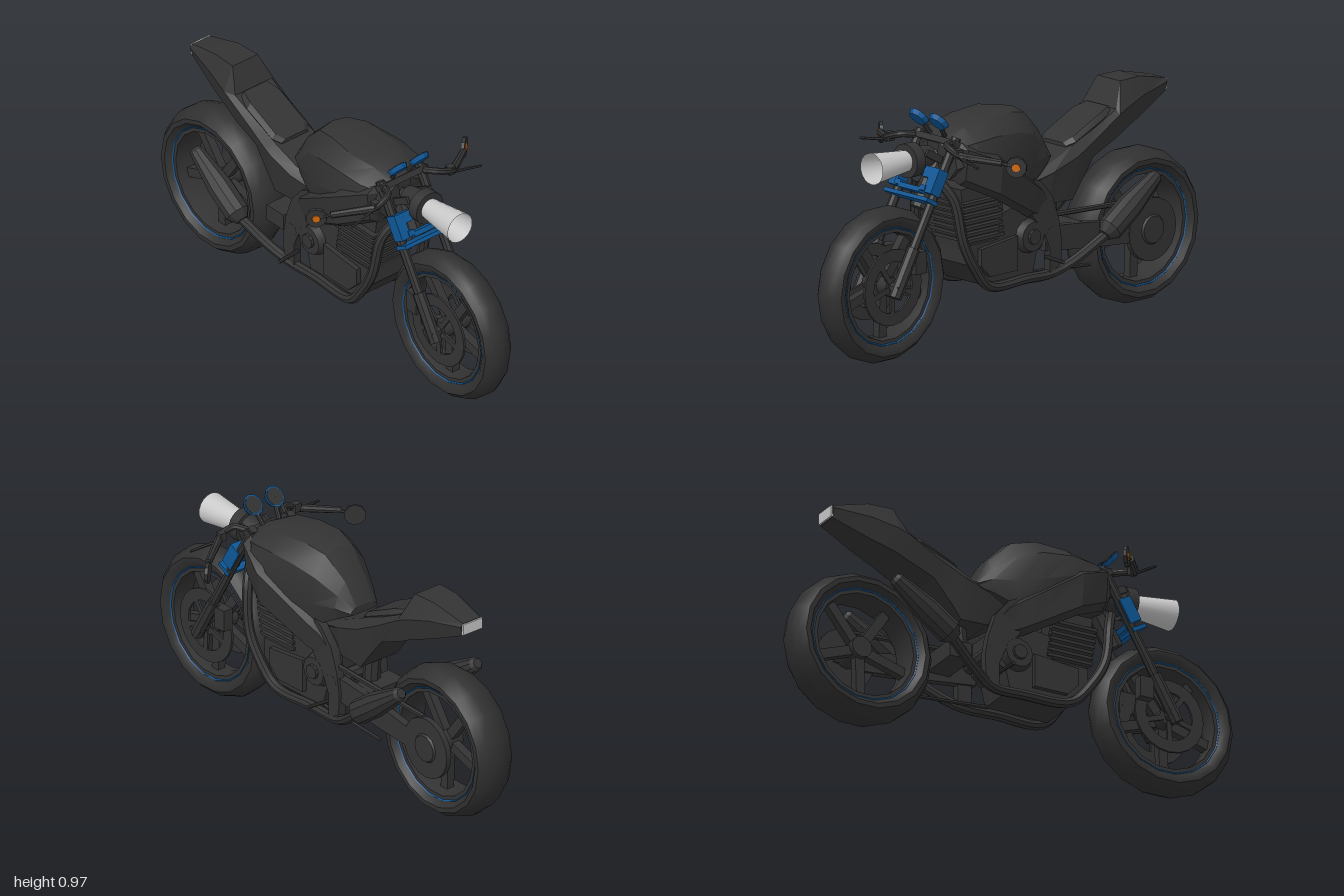
import * as THREE from 'three';
import { toCreasedNormals } from 'three/addons/utils/BufferGeometryUtils.js';

const V = (x, y, z) => new THREE.Vector3(x, y, z);
const mat = (name, color, side = THREE.FrontSide) => {
  const m = new THREE.MeshStandardMaterial({ color, side });
  m.name = name;
  return m;
};

export function createModel() {
  const bike = new THREE.Group();
  bike.name = 'motorcycle';
  const black = mat('charcoal', 0x333333);
  const rubber = mat('rubber', 0x303030);
  const blue = mat('blue', 0x0d5695);
  const silver = mat('silver', 0xc8c8c8, THREE.DoubleSide);
  const orange = mat('orange', 0xd0680f);

  const add = (name, geo, material = black, parent = bike, crease = 0.55) => {
    const m = new THREE.Mesh(toCreasedNormals(geo, crease), material);
    m.name = name;
    parent.add(m);
    return m;
  };
  const both = (fn) => [1, -1].forEach(fn);

  // lathe of [distance, radius] pairs standing from a towards b
  const turned = (a, b, profile, seg = 10) => {
    const geo = new THREE.LatheGeometry(profile.map(([d, r]) => new THREE.Vector2(r, d)), seg);
    const q = new THREE.Quaternion().setFromUnitVectors(V(0, 1, 0), b.clone().sub(a).normalize());
    return geo.applyQuaternion(q).translate(a.x, a.y, a.z);
  };
  const rod = (a, b, r1, r2 = r1, seg = 8) => {
    const l = a.distanceTo(b);
    return turned(a, b, [[0, 0], [0, r1], [l, r2], [l, 0]], seg);
  };
  const tube = (pts, r, n = 24) =>
    new THREE.TubeGeometry(new THREE.CatmullRomCurve3(pts.map((p) => V(...p))), n, r, 8);
  const box = (w, h, d, x, y, z) => new THREE.BoxGeometry(w, h, d).translate(x, y, z);

  // flat plate drawn in (z, y), thick along x
  const plate = (pts, x, depth, hole) => {
    const shape = new THREE.Shape(pts.map((p) => new THREE.Vector2(...p)));
    if (hole) shape.holes.push(new THREE.Path(hole.map((p) => new THREE.Vector2(...p))));
    return new THREE.ExtrudeGeometry(shape, { depth, bevelEnabled: false })
      .translate(0, 0, -depth / 2).rotateY(-Math.PI / 2).translate(x, 0, 0);
  };
  const circle = (r, n = 20) => Array.from({ length: n }, (_, i) =>
    [r * Math.cos(i * 2 * Math.PI / n), r * Math.sin(i * 2 * Math.PI / n)]);

  // skin over rings of [x, y, z], running front to back, clockwise from the front
  const loft = (rings) => {
    const n = rings[0].length, idx = [];
    for (let i = 0; i < rings.length - 1; i++) for (let j = 0; j < n; j++) {
      const a = i * n + j, b = i * n + (j + 1) % n;
      idx.push(a, b, a + n, b, b + n, a + n);
    }
    const e = (rings.length - 1) * n;
    for (let j = 1; j < n - 1; j++) idx.push(0, j + 1, j, e, e + j, e + j + 1);
    const g = new THREE.BufferGeometry();
    g.setAttribute('position', new THREE.Float32BufferAttribute(rings.flat(2), 3));
    g.setIndex(idx);
    g.computeVertexNormals();
    return g;
  };
  const mirrored = (z, half) => [
    ...half.map(([x, y]) => [x, y, z]),
    ...half.slice(1, -1).reverse().map(([x, y]) => [-x, y, z])];

  // wheels
  const wheel = (name, z, w) => {
    const g = new THREE.Group();
    g.name = name;
    g.position.set(0, 0.315, z);
    bike.add(g);
    const ring = (pts) => new THREE.LatheGeometry(
      pts.map(([r, x]) => new THREE.Vector2(r, x * w)), 18).rotateZ(Math.PI / 2);
    add('tyre', ring([[0.235, -0.7], [0.26, -0.98], [0.28, -0.98], [0.302, -0.65], [0.315, -0.2],
      [0.315, 0.2], [0.302, 0.65], [0.28, 0.98], [0.26, 0.98], [0.235, 0.7], [0.235, -0.7]]), rubber, g, 0.7);
    add('rim', ring([[0.218, -0.72], [0.24, -0.72], [0.24, 0.72], [0.218, 0.72], [0.212, 0], [0.218, -0.72]]), black, g);
    both((s) => add('rimStripe', new THREE.TorusGeometry(0.237, 0.004, 4, 18)
      .rotateY(Math.PI / 2).translate(s * w * 0.72, 0, 0), blue, g));
    for (let i = 0; i < 5; i++) {
      add('spoke', box(0.035, 0.185, 0.04, 0, 0.125, 0).rotateX(i * Math.PI * 0.4 + 0.6), black, g);
    }
    return g;
  };
  const front = wheel('frontWheel', 0.685, 0.068);
  const rear = wheel('rearWheel', -0.685, 0.09);
  add('frontHub', rod(V(-0.068, 0, 0), V(0.068, 0, 0), 0.04, 0.04, 12), black, front);
  both((s) => {
    add('brakeDisc', plate(circle(0.155), s * 0.066, 0.01, circle(0.105)), black, front);
    for (let i = 0; i < 5; i++) {
      add('discArm', box(0.01, 0.09, 0.022, s * 0.066, 0.065, 0).rotateX(i * Math.PI * 0.4 + 0.6), black, front);
    }
    add('caliper', box(0.045, 0.09, 0.06, s * 0.085, 0.085, -0.12), black, front);
  });
  add('rearHub', rod(V(-0.04, 0, 0), V(0.09, 0, 0), 0.045, 0.045, 12), black, rear);
  add('sprocket', plate(circle(0.128), 0.108, 0.024), black, rear);
  add('sprocketCentre', rod(V(0.115, 0, 0), V(0.128, 0, 0), 0.065, 0.055, 14), black, rear);

  // fork, with the group tilted along the steering axis
  const fork = new THREE.Group();
  fork.name = 'fork';
  fork.position.set(0, 0.315, 0.685);
  fork.rotation.x = -0.517;
  bike.add(fork);
  both((s) => {
    const x = s * 0.1;
    add('forkLeg', rod(V(x, -0.04, 0), V(x, 0.17, 0), 0.026), black, fork);
    add('forkTube', rod(V(x, 0.16, 0), V(x, 0.64, 0), 0.019), black, fork);
    add('forkSleeve', box(0.045, 0.105, 0.055, s * 0.099, 0.445, 0.018), blue, fork);
    add('sleeveArm', box(0.045, 0.045, 0.03, s * 0.065, 0.475, 0.03), blue, fork);
    add('bridgeFoot', box(0.03, 0.022, 0.04, s * 0.07, 0.408, 0.03), blue, fork);
    add('lampStay', box(0.012, 0.03, 0.09, s * 0.06, 0.54, 0.04), black, fork);
  });
  add('lowerClamp', box(0.245, 0.016, 0.065, 0, 0.365, 0.02), blue, fork);
  add('sleeveBridge', box(0.12, 0.02, 0.04, 0, 0.398, 0.03), blue, fork);
  add('upperClamp', box(0.24, 0.025, 0.08, 0, 0.615, -0.02), black, fork);
  add('steeringHead', rod(V(0, 0.34, -0.05), V(0, 0.64, -0.05), 0.04), black, fork);
  add('frontAxle', rod(V(-0.12, 0, 0), V(0.12, 0, 0), 0.022), black, fork);

  // headlight
  const lampY = 0.792;
  add('headlightShell', turned(V(0, lampY, 0.55), V(0, lampY, 0.735), [[0, 0.043], [0.185, 0.064]], 18), silver);
  add('headlightLens', new THREE.CircleGeometry(0.043, 18).translate(0, lampY, 0.558), silver);
  add('headlightRing', rod(V(0, lampY, 0.505), V(0, lampY, 0.552), 0.069, 0.069, 24));
  add('headlightMount', rod(V(0, lampY, 0.42), V(0, lampY, 0.506), 0.04, 0.055, 12));

  // gauges tilted towards the rider
  both((s) => {
    const c = V(s * 0.056, 0.94, 0.423), n = V(0, 0.65, -0.76);
    add('gaugeCup', rod(c.clone().addScaledVector(n, -0.014), c.clone().addScaledVector(n, 0.006), 0.036, 0.045, 10), blue);
    add('gaugeFace', rod(c, c.clone().addScaledVector(n, 0.009), 0.038, 0.038, 10));
    add('gaugeStem', rod(V(s * 0.04, 0.86, 0.37), c, 0.01));
  });

  // handlebars, levers and bar-end lamps
  both((s) => {
    add('handlebar', tube([[s * 0.1, 0.855, 0.4], [s * 0.13, 0.86, 0.45], [s * 0.18, 0.845, 0.46], [s * 0.22, 0.83, 0.445], [s * 0.28, 0.82, 0.4]], 0.014));
    add('grip', rod(V(s * 0.21, 0.83, 0.45), V(s * 0.345, 0.812, 0.355), 0.017, 0.014));
    add('lever', rod(V(s * 0.2, 0.825, 0.45), V(s * 0.335, 0.81, 0.475), 0.007, 0.005, 6));
    add('leverClamp', box(0.03, 0.035, 0.03, s * 0.195, 0.84, 0.45));
    const c = V(s * 0.385, 0.795, 0.315), n = V(s * 0.62, 0, 0.78);
    add('barEndArm', rod(V(s * 0.335, 0.812, 0.36), c, 0.007));
    add('barEndDisc', rod(c.clone().addScaledVector(n, -0.008), c.clone().addScaledVector(n, 0.006), 0.044, 0.042, 10));
    add('indicator', rod(c, c.clone().addScaledVector(n, 0.011), 0.018, 0.016, 10), orange);
  });

  // fuel tank
  add('fuelTank', loft([
    [0.39, [[0, 0.865], [0.06, 0.86], [0.11, 0.83], [0.125, 0.75], [0.08, 0.7], [0, 0.7]]],
    [0.31, [[0, 0.908], [0.08, 0.898], [0.155, 0.85], [0.175, 0.78], [0.15, 0.68], [0, 0.68]]],
    [0.2, [[0, 0.925], [0.1, 0.91], [0.165, 0.86], [0.185, 0.77], [0.16, 0.65], [0, 0.65]]],
    [0.07, [[0, 0.936], [0.09, 0.922], [0.155, 0.85], [0.17, 0.73], [0.14, 0.61], [0, 0.61]]],
    [-0.03, [[0, 0.915], [0.07, 0.9], [0.13, 0.82], [0.14, 0.71], [0.12, 0.61], [0, 0.61]]],
    [-0.125, [[0, 0.82], [0.05, 0.81], [0.09, 0.76], [0.105, 0.71], [0.09, 0.66], [0, 0.66]]],
    [-0.18, [[0, 0.72], [0.04, 0.715], [0.06, 0.705], [0.07, 0.695], [0.06, 0.685], [0, 0.685]]],
  ].map((s) => mirrored(...s))), black, bike, 0.45);

  // frame spars, pivot plates and footrests
  both((s) => {
    const rings = [[0.4, 0.07, 0.85, 0.74], [0.36, 0.16, 0.855, 0.68], [0.22, 0.212, 0.795, 0.61],
      [0.0, 0.16, 0.655, 0.49], [-0.07, 0.138, 0.61, 0.46], [-0.14, 0.12, 0.53, 0.42]].map(([z, x, top, low]) => {
      const r = [[s * (x - 0.04), top, z], [s * x, top - 0.025, z], [s * (x - 0.015), low + 0.025, z], [s * (x - 0.05), low, z]];
      return s > 0 ? r : r.reverse();
    });
    add('frameSpar', loft(rings));
    add('pivotPlate', plate([[-0.02, 0.49], [-0.03, 0.64], [-0.07, 0.62], [-0.13, 0.55], [-0.165, 0.45],
      [-0.18, 0.36], [-0.175, 0.24], [-0.115, 0.24], [-0.115, 0.34], [-0.08, 0.42]], s * 0.112, 0.035));
    add('footrest', rod(V(s * 0.11, 0.305, -0.11), V(s * 0.22, 0.305, -0.1), 0.008));
  });

  // swingarm and chain, both on the left side only
  add('swingarm', loft([[-0.1, 0.43, 0.33], [-0.35, 0.405, 0.3], [-0.62, 0.355, 0.275], [-0.74, 0.34, 0.29]].map(([z, t, b]) =>
    [[0.085, t, z], [0.118, t, z], [0.118, b, z], [0.085, b, z]])));
  add('swingarmPivot', rod(V(-0.13, 0.4, -0.13), V(0.13, 0.4, -0.13), 0.03));
  add('swingarmBridge', box(0.19, 0.07, 0.1, 0, 0.375, -0.27));
  add('chainTop', rod(V(0.105, 0.47, -0.1), V(0.105, 0.44, -0.66), 0.011, 0.011, 6));
  add('sideStand', rod(V(0.09, 0.25, -0.05), V(0.085, 0.222, -0.375), 0.009, 0.007, 6));
  add('shock', rod(V(0, 0.36, -0.22), V(0, 0.6, -0.24), 0.035));

  // engine
  add('crankcase', plate([[0.3, 0.42], [0.3, 0.34], [0.23, 0.25], [-0.05, 0.25], [-0.07, 0.33], [-0.12, 0.36],
    [-0.12, 0.5], [0.02, 0.54], [0.13, 0.52], [0.14, 0.42]], 0, 0.2));
  add('cylinderBlock', plate([[0.3, 0.4], [0.33, 0.65], [0.1, 0.65], [0.1, 0.4]], 0, 0.17));
  for (let i = 0; i < 7; i++) {
    add('coolingFin', box(0.22, 0.013, 0.2, 0, 0.44 + i * 0.025, 0.215 + i * 0.004));
  }
  both((s) => {
    add('sideCover', rod(V(s * 0.09, 0.405, -0.025), V(s * 0.13, 0.405, -0.025), 0.075, 0.06, 12));
    add('sideCap', rod(V(s * 0.12, 0.405, -0.025), V(s * 0.142, 0.405, -0.025), 0.032, 0.03, 10));
    add('lowerCover', plate([[0.25, 0.4], [0.25, 0.33], [0.2, 0.28], [0.05, 0.28], [0.05, 0.42]], s * 0.11, 0.02));
  });

  // exhausts on both sides
  both((s) => {
    add('exhaustPipe', tube([[s * 0.07, 0.69, 0.42], [s * 0.11, 0.62, 0.39], [s * 0.13, 0.45, 0.36], [s * 0.13, 0.34, 0.3],
      [s * 0.12, 0.245, 0.21], [s * 0.11, 0.235, 0], [s * 0.115, 0.235, -0.14], [s * 0.145, 0.275, -0.23], [s * 0.19, 0.365, -0.36]], 0.021, 40));
    add('muffler', turned(V(s * 0.195, 0.365, -0.35), V(s * 0.199, 0.565, -0.635),
      [[0, 0], [0, 0.026], [0.035, 0.052], [0.165, 0.052], [0.33, 0.03], [0.345, 0.02], [0.345, 0]], 10), black, bike, 0.4);
  });

  // seat and tail: z, top, shoulder, bottom, top width, side width
  const tail = (rows) => loft(rows.map(([z, top, mid, low, wt, ws]) =>
    mirrored(z, [[0, top], [wt, top], [ws, mid], [ws * 0.8, low], [0, low]])));
  add('tailBody', tail([[-0.03, 0.61, 0.6, 0.585, 0.05, 0.08], [-0.15, 0.665, 0.64, 0.51, 0.08, 0.115],
    [-0.27, 0.72, 0.68, 0.505, 0.09, 0.12], [-0.31, 0.74, 0.7, 0.56, 0.09, 0.12], [-0.39, 0.77, 0.74, 0.66, 0.09, 0.115],
    [-0.51, 0.83, 0.81, 0.71, 0.095, 0.115], [-0.56, 0.93, 0.83, 0.735, 0.065, 0.11],
    [-0.67, 0.93, 0.86, 0.775, 0.06, 0.09], [-0.825, 0.893, 0.88, 0.84, 0.045, 0.058]]), black, bike, 0.3);
  add('seatPad', tail([[-0.26, 0.73, 0.72, 0.69, 0.05, 0.07], [-0.29, 0.752, 0.735, 0.7, 0.075, 0.093],
    [-0.44, 0.822, 0.8, 0.76, 0.075, 0.093], [-0.5, 0.838, 0.82, 0.79, 0.06, 0.075]]), black, bike, 0.3);
  add('tailLight', box(0.1, 0.046, 0.008, 0, 0.868, -0.828), silver);

  return bike;
}
